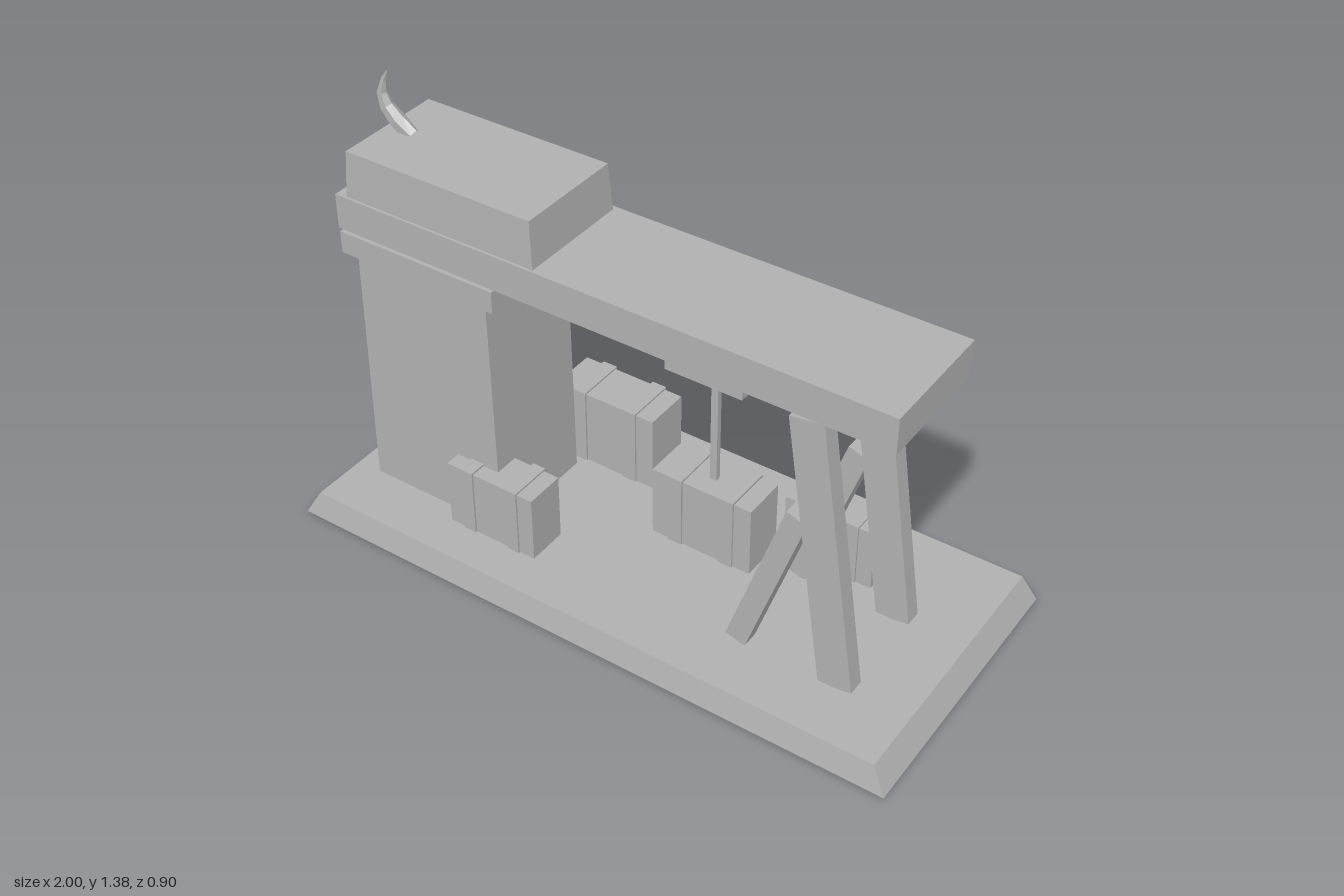
import * as THREE from 'three';

const stone = new THREE.MeshStandardMaterial({ color: 0xb0b0b0, flatShading: true, side: THREE.DoubleSide });
stone.name = 'plain grey';

function add(parent, name, geometry) {
  const mesh = new THREE.Mesh(geometry, stone);
  mesh.name = name;
  parent.add(mesh);
  return mesh;
}

// Box given by its limits; inset narrows the top, open removes the underside
function block(parent, name, [x0, x1], [y0, y1], [z0, z1], { insetX = 0, insetZ = 0, open = false } = {}) {
  const w = x1 - x0, h = y1 - y0, d = z1 - z0;
  const geo = new THREE.BoxGeometry(w, h, d);
  const p = geo.attributes.position;
  for (let i = 0; i < p.count; i++) {
    if (p.getY(i) > 0) {
      p.setX(i, p.getX(i) - Math.sign(p.getX(i)) * insetX);
      p.setZ(i, p.getZ(i) - Math.sign(p.getZ(i)) * insetZ);
    }
  }
  if (open) {
    geo.setIndex([...geo.index.array].filter((_, i) => i < 18 || i >= 24));
    geo.clearGroups();
  }
  geo.computeVertexNormals();
  const mesh = add(parent, name, geo);
  mesh.position.set((x0 + x1) / 2, (y0 + y1) / 2, (z0 + z1) / 2);
  return mesh;
}

// Square timber running between two points in the x-y plane
function timber(parent, name, [xa, ya], [xb, yb], width, depth, z) {
  const mesh = add(parent, name, new THREE.BoxGeometry(width, Math.hypot(xb - xa, yb - ya), depth));
  mesh.position.set((xa + xb) / 2, (ya + yb) / 2, z);
  mesh.rotation.z = -Math.atan2(xb - xa, yb - ya);
  return mesh;
}

// Disc lying against a wall that faces -z
function disc(parent, name, x, y, z, radius, depth, sides = 20) {
  const mesh = add(parent, name, new THREE.CylinderGeometry(radius, radius, depth, sides));
  mesh.rotation.x = Math.PI / 2;
  mesh.position.set(x, y, z);
  return mesh;
}

// Crate with two raised straps
function crate(parent, name, [x0, x1], [y0, y1], [z0, z1]) {
  const group = new THREE.Group();
  group.name = name;
  parent.add(group);
  const e = 0.006, w = x1 - x0;
  block(group, 'crateBody', [x0, x1], [y0, y1 - e], [z0 + e, z1 - e]);
  for (const t of [0.24, 0.76]) {
    const c = x0 + w * t;
    block(group, 'crateStrap', [c - w * 0.07, c + w * 0.07], [y0, y1], [z0, z1]);
  }
}

// Gabled outline used for the door and its frame
function gable(halfWidth, eave, apex) {
  return new THREE.Shape([[-halfWidth, 0], [halfWidth, 0], [halfWidth, eave], [0, apex], [-halfWidth, eave]]
    .map(([x, y]) => new THREE.Vector2(x, y)));
}

// Curved horn: six-sided rings from [x, y, thickness, half depth]
function hornGeometry() {
  const rings = [[-0.79, 1.195, 0.03, 0.02], [-0.835, 1.23, 0.025, 0.025], [-0.872, 1.265, 0.022, 0.02],
    [-0.887, 1.305, 0.017, 0.014], [-0.877, 1.345, 0.009, 0.008], [-0.86, 1.38, 0.001, 0.001]];
  const sides = 6, pos = [], idx = [];
  rings.forEach(([x, y, r, d], i) => {
    const a = rings[Math.max(i - 1, 0)], b = rings[Math.min(i + 1, rings.length - 1)];
    const len = Math.hypot(b[0] - a[0], b[1] - a[1]);
    const nx = (b[1] - a[1]) / len, ny = -(b[0] - a[0]) / len;
    for (let s = 0; s < sides; s++) {
      const t = s / sides * Math.PI * 2, c = Math.cos(t) * r;
      pos.push(x + nx * c, y + ny * c, 0.068 + Math.sin(t) * d);
      if (i) {
        const q = (s + 1) % sides, lo = (i - 1) * sides, hi = i * sides;
        idx.push(lo + s, hi + s, lo + q, lo + q, hi + s, hi + q);
      }
    }
  });
  const geo = new THREE.BufferGeometry();
  geo.setAttribute('position', new THREE.Float32BufferAttribute(pos, 3));
  geo.setIndex(idx);
  geo.computeVertexNormals();
  return geo;
}

export function createModel() {
  const model = new THREE.Group();
  model.name = 'craneHouse';

  // Hollow plinth
  block(model, 'plinth', [-1, 1], [0, 0.08], [-0.45, 0.45], { insetX: 0.045, insetZ: 0.02, open: true });

  // Tower, collar, long beam and roof
  block(model, 'tower', [-0.875, -0.4], [0.08, 0.89], [-0.12, 0.25], { insetX: 0.01 });
  block(model, 'collar', [-0.905, -0.37], [0.88, 0.95], [-0.12, 0.27]);
  block(model, 'beam', [-0.92, 0.855], [0.95, 1.06], [-0.127, 0.258], { open: true });
  block(model, 'roof', [-0.885, -0.24], [1.06, 1.205], [-0.112, 0.25], { insetX: 0.01, insetZ: 0.006 });
  add(model, 'roofHorn', hornGeometry());

  // Hoist and hanging load
  block(model, 'hoistBlock', [0.08, 0.325], [0.785, 0.952], [-0.022, 0.106]);
  block(model, 'rope', [0.194, 0.216], [0.42, 0.79], [0.034, 0.051]);
  crate(model, 'hangingCrate', [0.042, 0.367], [0.195, 0.427], [-0.036, 0.116]);

  // Crates on the ground
  crate(model, 'frontCrate', [-0.55, -0.245], [0.08, 0.302], [0.165, 0.306]);
  crate(model, 'backCrate', [-0.49, -0.14], [0.08, 0.338], [-0.312, -0.147]);
  crate(model, 'sideCrate', [0.33, 0.62], [0.08, 0.288], [-0.268, -0.135]);

  // Leaning posts with braces
  for (const z of [-0.093, 0.226]) {
    timber(model, 'post', [0.732, 0.08], [0.602, 0.94], 0.104, 0.053, z);
    timber(model, 'brace', [0.414, 0.085], [0.588, 0.61], 0.066, 0.051, z);
  }

  // Studs on the back of the beam
  for (const x of [-0.45, 0, 0.45]) disc(model, 'beamStud', x, 1.0, -0.127, 0.032, 0.02, 12);

  // Round window and door on the back of the tower
  const cx = -0.635;
  disc(model, 'roundWindow', cx, 0.665, -0.122, 0.097, 0.014);
  const door = new THREE.Group();
  door.name = 'doorway';
  door.position.set(cx, 0.08, -0.12);
  model.add(door);
  const frame = gable(0.1, 0.2, 0.29);
  frame.holes.push(gable(0.075, 0.18, 0.25));
  add(door, 'doorFrame', new THREE.ExtrudeGeometry(frame, { depth: 0.008, bevelEnabled: false })).position.z = -0.008;
  add(door, 'doorLeaf', new THREE.ExtrudeGeometry(gable(0.075, 0.18, 0.25), { depth: 0.003, bevelEnabled: false })).position.z = -0.003;
  for (const s of [-1, 1]) {
    timber(door, 'doorGableTrim', [s * 0.14, 0.17], [0, 0.305], 0.014, 0.012, -0.006);
    const curl = add(door, 'trimCurl', new THREE.TorusGeometry(0.013, 0.005, 5, 10));
    curl.position.set(s * 0.143, 0.178, -0.005);
  }
  disc(door, 'doorKnob', 0.04, 0.142, -0.007, 0.011, 0.012, 10);
  block(door, 'doorStep', [-0.15, 0.15], [0, 0.016], [-0.048, 0]);

  return model;
}
